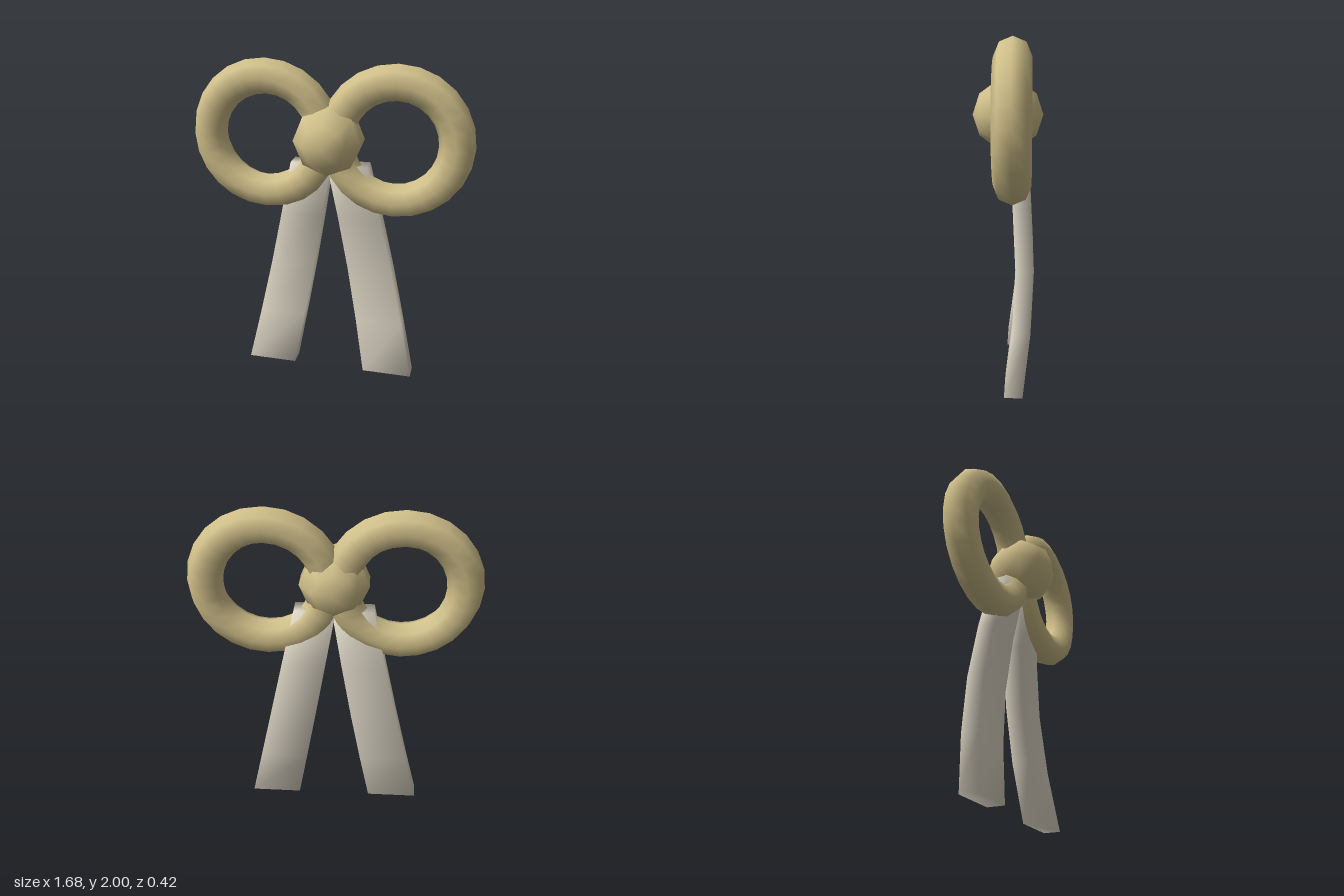
import * as THREE from 'three';
import { mergeVertices } from 'three/addons/utils/BufferGeometryUtils.js';

// Ribbon tail: a soft-shaded box that leans outwards and sags backwards
function tailGeometry(side) {
  const height = 1.4;
  let geo = new THREE.BoxGeometry(1, height, 0.105, 1, 4, 1);
  geo.deleteAttribute('normal');
  geo.deleteAttribute('uv');
  geo = mergeVertices(geo);
  const p = geo.attributes.position;
  for (let i = 0; i < p.count; i++) {
    const y = p.getY(i) + height / 2;
    const t = y / height;
    const centre = THREE.MathUtils.lerp(0.385, 0.11, t);
    const width = THREE.MathUtils.lerp(0.31, 0.242, t);
    const z = p.getZ(i) - 0.043 - 0.061 * Math.sin(Math.PI * t);
    p.setXYZ(i, side * centre + p.getX(i) * width, y, z);
  }
  geo.computeVertexNormals();
  return geo;
}

export function createModel() {
  const gold = new THREE.MeshStandardMaterial({ color: 0xd2c18b });
  gold.name = 'gold';
  const cream = new THREE.MeshStandardMaterial({ color: 0xe0d9c8 });
  cream.name = 'cream';

  const group = new THREE.Group();
  group.name = 'bow';
  const add = (name, geometry, material, x, y, z) => {
    const mesh = new THREE.Mesh(geometry, material);
    mesh.name = name;
    mesh.position.set(x, y, z);
    group.add(mesh);
  };

  // Loops and tails, mirrored
  for (const [side, label] of [[1, 'left'], [-1, 'right']]) {
    add(label + 'Loop', new THREE.TorusGeometry(0.35, 0.104, 8, 24), gold, side * 0.386, 1.546, -0.035);
    add(label + 'Tail', tailGeometry(side), cream, 0, 0, 0);
  }

  // Knot, with its poles facing front and back
  const knot = new THREE.SphereGeometry(0.21, 8, 5).rotateX(Math.PI / 2);
  add('knot', knot, gold, 0, 1.55, 0);

  return group;
}
